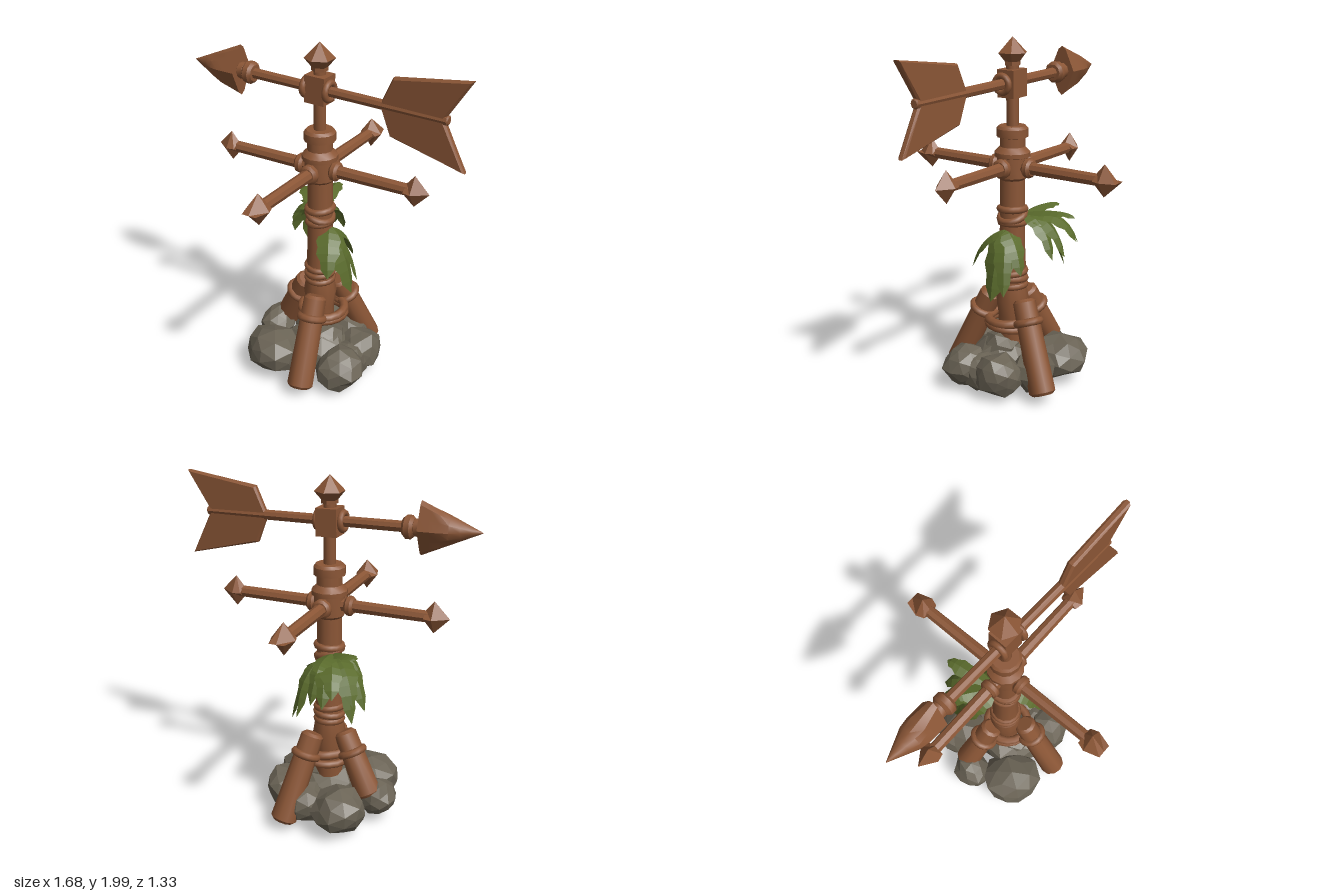
import * as THREE from 'three';
import { toCreasedNormals } from 'three/addons/utils/BufferGeometryUtils.js';

const wood = new THREE.MeshStandardMaterial({ color: 0x8b5636 });
const stone = new THREE.MeshStandardMaterial({ color: 0x6a6355 });
const leafGreen = new THREE.MeshStandardMaterial({ color: 0x5a6b2c, side: THREE.DoubleSide });
wood.name = 'wood'; stone.name = 'stone'; leafGreen.name = 'leaf green';

const V = (x, y, z) => new THREE.Vector3(x, y, z);
const UP = V(0, 1, 0);
const PX = -0.02; // x of the post axis

function add(parent, name, geometry, material = wood, pos = [0, 0, 0]) {
  const mesh = new THREE.Mesh(geometry, material);
  mesh.name = name;
  mesh.position.set(...pos);
  parent.add(mesh);
  return mesh;
}

// Turned profile of [radius, height] pairs, with crisp edges
function lathe(points, sides = 12, crease = 0.65) {
  const g = new THREE.LatheGeometry(points.map(p => new THREE.Vector2(...p)), sides);
  return toCreasedNormals(g, crease);
}

// Stands a part built along +y on point a, aimed at b
function aim(mesh, a, b) {
  mesh.position.copy(a);
  mesh.quaternion.setFromUnitVectors(UP, b.clone().sub(a).normalize());
  return mesh;
}

// Log with bevelled ends from a to b
function log(parent, name, a, b, ra, rb = ra, sides = 10) {
  const h = a.distanceTo(b), c = Math.min(ra, rb) * 0.25;
  const g = lathe([[0, 0], [ra - c, 0], [ra, c], [rb, h - c], [rb - c, h], [0, h]], sides);
  return aim(add(parent, name, g), a, b);
}

function ring(parent, name, pos, radius, tube, tiltX = 0, tiltZ = 0) {
  const g = new THREE.TorusGeometry(radius, tube, 8, 18);
  g.rotateX(Math.PI / 2);
  const m = add(parent, name, g, wood, pos);
  m.rotation.set(tiltX, 0, tiltZ);
  return m;
}

// Four sided pointed knob along +y; the tip ends in a ridge of half width "ridge"
function knob(ridge) {
  const rows = [[0.05, 0.035, -0.045], [ridge > 0.01 ? 0.066 : 0.06, 0.088, 0], [ridge, 0, 0.085]];
  const v = (i, k) => {
    const [a, b, y] = rows[i];
    return [[a, 0], [0, b], [-a, 0], [0, -b]].map(([x, z]) => [x, y, z])[k % 4];
  };
  const p = [];
  for (let i = 0; i < 2; i++) for (let k = 0; k < 4; k++) {
    p.push(...v(i, k), ...v(i + 1, k), ...v(i, k + 1));
    p.push(...v(i, k + 1), ...v(i + 1, k), ...v(i + 1, k + 1));
  }
  p.push(...v(0, 0), ...v(0, 1), ...v(0, 2), ...v(0, 0), ...v(0, 2), ...v(0, 3));
  const g = new THREE.BufferGeometry();
  g.setAttribute('position', new THREE.Float32BufferAttribute(p, 3));
  g.computeVertexNormals();
  return g;
}

// Faceted boulder with repeatable bumps
function rock(parent, x, y, z, rx, ry, rz, seed) {
  const g = new THREE.IcosahedronGeometry(1, 1), p = g.attributes.position;
  for (let i = 0; i < p.count; i++) {
    const q = V().fromBufferAttribute(p, i);
    const key = Math.round(q.x * 50) * 1.7 + Math.round(q.y * 50) * 3.1 + Math.round(q.z * 50) * 5.3;
    const k = 1 + 0.1 * Math.sin(key + seed * 2.3);
    p.setXYZ(i, q.x * k * rx, q.y * k * ry, q.z * k * rz);
  }
  g.computeVertexNormals();
  add(parent, 'rock', g, stone, [x, y, z]);
}

// Drooping leaf: folded strip along a curve, with a notched edge
function leaf(parent, from, to, width, lift) {
  const mid = from.clone().lerp(to, 0.55).add(V(0, lift, 0));
  mid.x += (to.x - from.x) * 0.25;
  mid.z += (to.z - from.z) * 0.25;
  const curve = new THREE.QuadraticBezierCurve3(from, mid, to);
  const widths = [0.25, 0.75, 1, 0.85, 0.95, 0.6, 0.55, 0];
  const out = V(to.x - from.x, 0, to.z - from.z).normalize();
  const side = V().crossVectors(out, UP);
  const rows = widths.map((w, i) => {
    const t = i / (widths.length - 1), c = curve.getPoint(t), tan = curve.getTangent(t);
    const fold = V().crossVectors(side, tan).multiplyScalar(-w * width * 0.35);
    return [-1, 0, 1].map(s => c.clone().addScaledVector(side, s * w * width)
      .addScaledVector(fold, Math.abs(s)));
  });
  const p = [];
  for (let i = 0; i < rows.length - 1; i++) for (let k = 0; k < 2; k++) {
    const [a, b, c, d] = [rows[i][k], rows[i][k + 1], rows[i + 1][k + 1], rows[i + 1][k]];
    for (const q of [a, b, c, a, c, d]) p.push(q.x, q.y, q.z);
  }
  const g = new THREE.BufferGeometry();
  g.setAttribute('position', new THREE.Float32BufferAttribute(p, 3));
  g.computeVertexNormals();
  add(parent, 'leaf', g, leafGreen);
}

function group(parent, name) {
  const g = new THREE.Group();
  g.name = name;
  parent.add(g);
  return g;
}

export function createModel() {
  const model = new THREE.Group();
  model.name = 'weatherVane';

  // Rock pile
  const rocks = group(model, 'rocks');
  [[-0.205, 0.15, 0.21, 0.185, 0.13, 0.17], [0.21, 0.14, 0.165, 0.135, 0.125, 0.135],
    [0.22, 0.15, -0.075, 0.125, 0.12, 0.14], [-0.18, 0.16, -0.23, 0.16, 0.125, 0.155],
    [-0.33, 0.17, -0.02, 0.1, 0.11, 0.12], [0, 0.15, 0.02, 0.2, 0.145, 0.2],
    [0.05, 0.14, -0.2, 0.13, 0.12, 0.12], [0.02, 0.22, 0.04, 0.13, 0.1, 0.13],
    [0.2, 0.13, 0.05, 0.12, 0.11, 0.14]].forEach((r, i) => rock(rocks, ...r, i + 1));

  // Post: flared foot, shaft, capped neck and thin spindle
  const post = group(model, 'post');
  add(post, 'postShaft', lathe([[0, 0.2], [0.08, 0.22], [0.08, 0.42], [0.095, 0.52], [0.085, 0.58],
    [0.073, 0.8], [0.07, 1.2], [0.07, 1.46], [0.088, 1.465], [0.088, 1.51], [0.075, 1.525],
    [0, 1.525]]), wood, [PX, 0, 0]);
  add(post, 'armHub', lathe([[0.07, 1.225], [0.085, 1.24], [0.085, 1.35], [0.1, 1.355],
    [0.1, 1.38], [0.07, 1.41]]), wood, [PX, 0, 0]);
  log(post, 'spindle', V(PX, 1.5, 0), V(PX, 1.89, 0), 0.034);
  add(post, 'finial', lathe([[0, 1.845], [0.045, 1.85], [0.045, 1.87], [0.083, 1.915], [0, 2]], 6, 0.1),
    wood, [PX, 0, 0]);
  [[0.605, 0.072, 0], [0.645, 0.074, 0.08], [0.685, 0.072, -0.07], [1.055, 0.07, 0.06],
    [1.015, 0.072, -0.35], [0.975, 0.066, 0.1]].forEach(([y, r, tilt]) =>
    ring(post, 'binding', [PX, y, 0], r, 0.02, 0.05, tilt));

  // Leaning support logs with a binding each
  const legs = group(model, 'supportLogs');
  [[V(0.02, 0.55, 0.115), V(0.05, 0.06, 0.345)], [V(0.03, 0.55, -0.115), V(0.135, 0.06, -0.32)],
    [V(-0.12, 0.55, -0.02), V(-0.3, 0.2, -0.08)]].forEach(([top, foot]) => {
    log(legs, 'supportLog', foot, top, 0.075, 0.065);
    const c = top.clone().lerp(foot, 0.13 / top.distanceTo(foot));
    aim(ring(legs, 'logBinding', [0, 0, 0], 0.066, 0.022), c, top);
  });
  ring(legs, 'logBinding', [0, 0.41, 0], 0.125, 0.026, 0.05, -0.05);
  ring(legs, 'logBinding', [0, 0.37, 0], 0.13, 0.022, -0.04, 0.06);

  // Four direction arms
  const arms = group(model, 'arms');
  const knobAxes = new THREE.Matrix4().makeBasis(V(0, 0, -1), V(1, 0, 0), V(0, -1, 0));
  for (let i = 0; i < 4; i++) {
    const arm = group(arms, 'arm');
    const alongZ = i % 2 === 1;
    arm.position.set(alongZ ? PX : -0.03, 1.3, 0);
    arm.rotation.y = i * Math.PI / 2;
    log(arm, 'armRod', V(0.05, 0, 0), V(0.56, 0, 0), 0.036, 0.033, 8);
    log(arm, 'armCollar', V(0.085, 0, 0), V(0.135, 0, 0), 0.055);
    const tip = add(arm, 'armTip', knob(alongZ ? 0.04 : 0.001), wood, [0.58, 0, 0]);
    tip.quaternion.setFromRotationMatrix(knobAxes);
  }

  // Arrow
  const arrow = group(model, 'arrow');
  arrow.position.set(PX, 1.755, 0.018);
  arrow.rotation.set(0, -0.025, -0.022);
  log(arrow, 'arrowShaft', V(-0.5, 0, 0), V(0.75, 0, 0), 0.03, 0.027, 8);
  add(arrow, 'arrowHub', new THREE.BoxGeometry(0.12, 0.15, 0.11), wood, [0, 0, -0.015]);
  for (const x of [-0.07, 0.07]) {
    ring(arrow, 'hubRing', [x, 0, 0], 0.045, 0.018).rotation.z = Math.PI / 2;
  }
  log(arrow, 'headCollar', V(-0.465, 0, 0), V(-0.405, 0, 0), 0.062);
  log(arrow, 'headNeck', V(-0.51, 0, 0), V(-0.455, 0, 0), 0.046);

  // Arrow head: cone pressed to a lens shape, thin at its upper and lower edges
  const cone = new THREE.CylinderGeometry(0.001, 0.142, 0.32, 12, 6).toNonIndexed();
  cone.rotateZ(Math.PI / 2);
  const cp = cone.attributes.position;
  for (let i = 0; i < cp.count; i++) {
    const limit = 0.08 * (1 - 0.8 * Math.abs(cp.getY(i)) / 0.142);
    cp.setZ(i, THREE.MathUtils.clamp(cp.getZ(i), -limit, limit));
  }
  add(arrow, 'arrowHead', toCreasedNormals(cone, 0.5), wood, [-0.66, 0, 0]);

  // Two mirrored fletching vanes
  for (const s of [1, -1]) {
    const outline = [[0.375, 0], [0.44, 0.155], [0.86, s > 0 ? 0.22 : 0.25], [0.735, 0.015], [0.735, 0]];
    const shape = new THREE.Shape(outline.map(([x, y]) => new THREE.Vector2(x, y * s)));
    const g = new THREE.ExtrudeGeometry(shape, {
      depth: 0.02, bevelEnabled: true, bevelThickness: 0.012, bevelSize: 0.01, bevelOffset: -0.01, bevelSegments: 1,
    });
    add(arrow, 'fletching', g, wood, [0, 0, -0.01]);
  }

  // Leaves tucked under the upper binding: a broad spray behind and a drape on the left
  const leaves = group(model, 'leaves');
  const spray = V(-0.06, 1.03, -0.05);
  [[-0.1, 1.04, -0.36, 0.055, 0.06], [-0.17, 0.88, -0.33, 0.07, 0.12], [-0.1, 0.8, -0.3, 0.065, 0.13],
    [-0.24, 0.7, -0.21, 0.065, 0.16], [-0.29, 0.76, -0.15, 0.07, 0.16], [-0.24, 1.06, -0.17, 0.055, 0.05],
    [-0.25, 0.88, -0.07, 0.06, 0.11], [-0.02, 0.8, -0.27, 0.06, 0.13], [-0.27, 0.84, -0.28, 0.075, 0.14],
  ].forEach(([x, y, z, w, lift]) => leaf(leaves, spray, V(x, y, z), w, lift));
  const drape = V(0.04, 0.95, 0);
  [[0.19, 0.56, 0, 0.1, 0.1], [0.13, 0.72, 0.17, 0.07, 0.08], [0.18, 0.6, -0.08, 0.065, 0.1],
    [0.11, 0.72, -0.15, 0.065, 0.08]]
    .forEach(([x, y, z, w, lift]) => leaf(leaves, drape, V(x, y, z), w, lift));

  return model;
}
